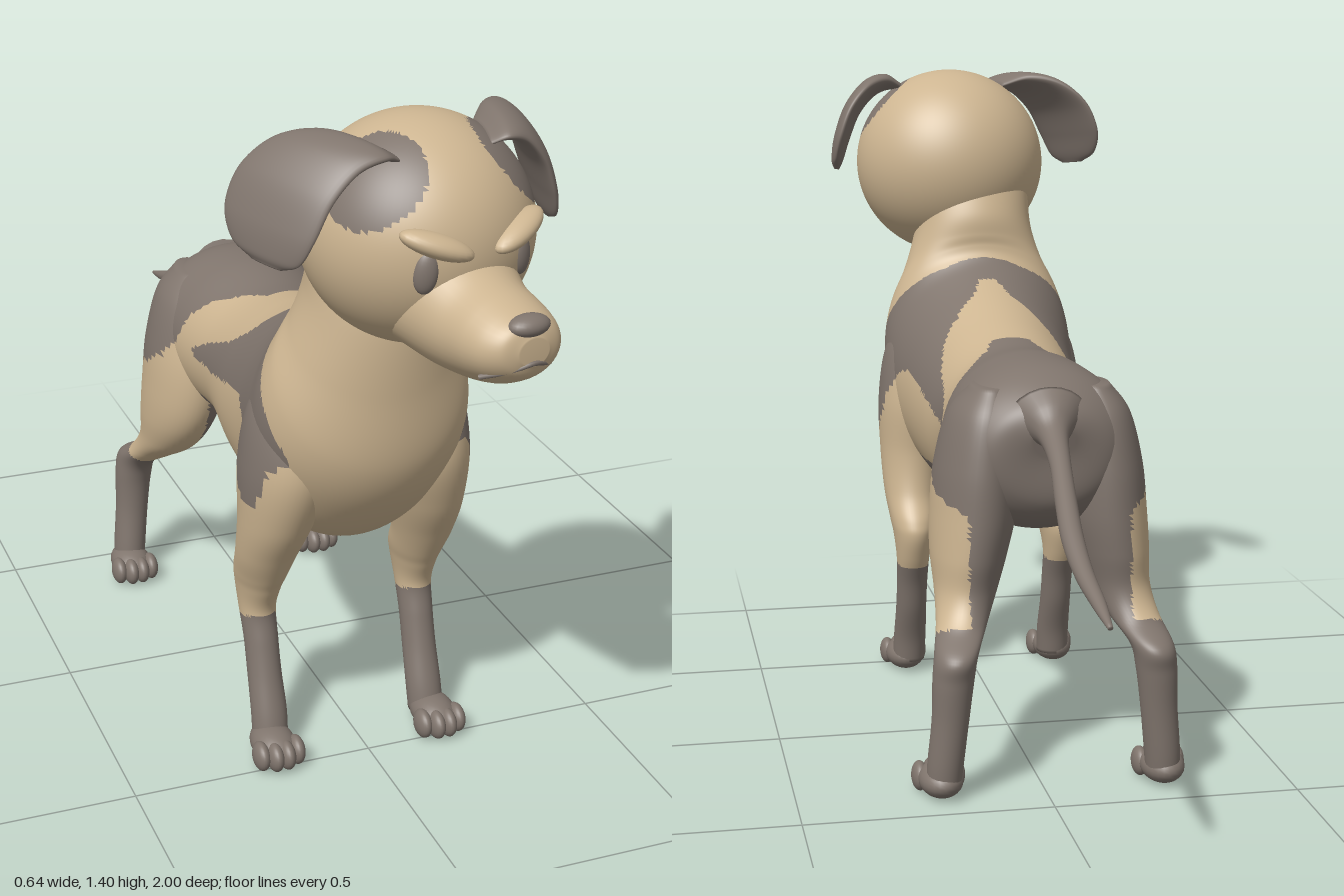
import * as THREE from 'three';

const tan = new THREE.MeshStandardMaterial({ color: 0xcdb591 });
tan.name = 'tan coat';
const grey = new THREE.MeshStandardMaterial({ color: 0x80756d });
grey.name = 'grey markings';

const V = (x, y, z) => new THREE.Vector3(x, y, z);
const MID = -0.017; // centre line of the body

// Smooth skin through elliptical rings [centre, halfAxisU, halfAxisV]
function loft(rings, around = 40, along = 60) {
  const curves = [0, 1, 2].map(k =>
    new THREE.CatmullRomCurve3(rings.map(r => r[k]), false, 'catmullrom', 0.5));
  const pos = [], index = [];
  for (let j = 0; j <= along; j++) {
    const [c, u, v] = curves.map(q => q.getPoint(j / along));
    for (let i = 0; i < around; i++) {
      const a = (i / around) * Math.PI * 2;
      const p = c.clone().addScaledVector(u, Math.cos(a)).addScaledVector(v, Math.sin(a));
      pos.push(p.x, p.y, p.z);
    }
  }
  for (let j = 0; j < along; j++) for (let i = 0; i < around; i++) {
    const a = j * around + i, b = j * around + (i + 1) % around;
    index.push(a, b, a + around, b, b + around, a + around);
  }
  // end caps
  const first = pos.length / 3, last = first + 1;
  for (const c of [rings[0][0], rings[rings.length - 1][0]]) pos.push(c.x, c.y, c.z);
  for (let i = 0; i < around; i++) {
    const k = (i + 1) % around, e = along * around;
    index.push(first, k, i, last, e + i, e + k);
  }
  // turn the faces outward
  const at = i => V(pos[3 * i], pos[3 * i + 1], pos[3 * i + 2]);
  let volume = 0;
  for (let t = 0; t < index.length; t += 3)
    volume += at(index[t]).dot(at(index[t + 1]).cross(at(index[t + 2])));
  if (volume < 0) index.reverse();
  const g = new THREE.BufferGeometry();
  g.setAttribute('position', new THREE.Float32BufferAttribute(pos, 3));
  g.setIndex(index);
  g.computeVertexNormals();
  return g;
}

// Sorts triangles into tan and grey groups by a rule on their centres
function paint(g, isGrey) {
  const p = g.attributes.position, idx = g.index.array, light = [], dark = [];
  for (let t = 0; t < idx.length; t += 3) {
    const f = [idx[t], idx[t + 1], idx[t + 2]];
    const m = get => (get(f[0]) + get(f[1]) + get(f[2])) / 3;
    const hit = isGrey(m(i => p.getX(i)), m(i => p.getY(i)), m(i => p.getZ(i)));
    (hit ? dark : light).push(...f);
  }
  g.setIndex(light.concat(dark));
  g.clearGroups();
  g.addGroup(0, light.length, 0);
  g.addGroup(light.length, dark.length, 1);
  return g;
}

function add(parent, name, geometry, material) {
  const m = new THREE.Mesh(geometry, material);
  m.name = name;
  parent.add(m);
  return m;
}

function ball(parent, name, material, [x, y, z], [sx, sy, sz]) {
  const m = add(parent, name, new THREE.SphereGeometry(1, 24, 16), material);
  m.position.set(x, y, z);
  m.scale.set(sx, sy, sz);
  return m;
}

// Point in polygon, in side profile (z, y)
const inside = (poly, z, y) => poly.reduce((hit, [z1, y1], i) => {
  const [z2, y2] = poly[(i + 1) % poly.length];
  return (y1 > y) !== (y2 > y) && z < (z2 - z1) * (y - y1) / (y2 - y1) + z1 ? !hit : hit;
}, false);

// Coat markings in side profile
const saddle = [[0.385, 1.1], [0.395, 0.96], [0.45, 0.875], [0.51, 0.79], [0.545, 0.73], [0.55, 0.7],
  [0.52, 0.68], [0.505, 0.62], [0.48, 0.59], [0.45, 0.585], [0.41, 0.62], [0.39, 0.68], [0.36, 0.725],
  [0.3, 0.745], [0.2, 0.725], [0.05, 0.69], [-0.05, 0.683], [-0.07, 0.7], [0, 0.735], [0.1, 0.775],
  [0.17, 0.82], [0.22, 0.87], [0.27, 0.91], [0.33, 0.94], [0.33, 1.1]];
const rump = [[0.05, 0.845], [0, 0.832], [-0.07, 0.8], [-0.11, 0.76], [-0.14, 0.69], [-0.18, 0.645],
  [-0.25, 0.605], [-0.37, 0.57], [-0.6, 0.55], [-0.6, 1], [0.05, 1]];
const marked = (z, y) => inside(saddle, z, y) || inside(rump, z, y);

// Torso and neck: [topZ, topY, bottomZ, bottomY, halfWidth]
const trunk = [
  [-0.405, 0.755, -0.385, 0.68, 0.04], [-0.37, 0.8, -0.37, 0.58, 0.13], [-0.28, 0.845, -0.3, 0.52, 0.19],
  [-0.15, 0.855, -0.17, 0.5, 0.185], [0, 0.845, -0.02, 0.5, 0.165], [0.15, 0.875, 0.13, 0.455, 0.178],
  [0.28, 0.92, 0.3, 0.45, 0.195], [0.36, 0.957, 0.45, 0.475, 0.212], [0.395, 0.985, 0.56, 0.57, 0.215],
  [0.405, 1.01, 0.628, 0.69, 0.198], [0.405, 1.035, 0.642, 0.85, 0.162], [0.41, 1.08, 0.642, 0.98, 0.137],
  [0.44, 1.15, 0.62, 1.08, 0.13]];

// Legs: [y, frontZ, backZ, outerX, innerX]
const foreLeg = [
  [0.86, 0.48, 0.4, 0.16, 0.1], [0.78, 0.535, 0.35, 0.215, 0.05], [0.66, 0.56, 0.32, 0.235, 0.05],
  [0.54, 0.525, 0.335, 0.234, 0.085], [0.45, 0.475, 0.325, 0.23, 0.108], [0.39, 0.44, 0.292, 0.222, 0.118],
  [0.355, 0.42, 0.285, 0.216, 0.126], [0.3, 0.398, 0.303, 0.21, 0.135], [0.235, 0.411, 0.333, 0.207, 0.137],
  [0.165, 0.43, 0.355, 0.207, 0.137], [0.09, 0.455, 0.383, 0.209, 0.135], [0.03, 0.47, 0.395, 0.21, 0.137]];
const hindLeg = [
  [0.81, -0.2, -0.32, 0.14, 0.07], [0.75, -0.13, -0.36, 0.185, 0.05], [0.65, -0.1, -0.378, 0.212, 0.045],
  [0.55, -0.1, -0.382, 0.222, 0.05], [0.47, -0.13, -0.38, 0.225, 0.07], [0.4, -0.195, -0.375, 0.222, 0.095],
  [0.345, -0.285, -0.405, 0.228, 0.125], [0.3, -0.353, -0.47, 0.242, 0.155], [0.25, -0.377, -0.468, 0.248, 0.165],
  [0.17, -0.383, -0.46, 0.25, 0.175], [0.08, -0.375, -0.455, 0.258, 0.185], [0.03, -0.37, -0.45, 0.26, 0.19]];

function addLeg(parent, name, rows, side, rule, pawZ, pawX) {
  const leg = new THREE.Group();
  leg.name = name;
  parent.add(leg);
  const rings = rows.map(([y, f, b, o, i]) =>
    [V(side * (o + i) / 2, y, (f + b) / 2), V((o - i) / 2, 0, 0), V(0, 0, (f - b) / 2)]);
  add(leg, name + 'Limb', paint(loft(rings, 48, 90), rule), [tan, grey]);
  // paw with four toes
  ball(leg, name + 'Paw', grey, [side * pawX, 0.036, pawZ], [0.045, 0.035, 0.066]);
  for (let k = 0; k < 4; k++) {
    const off = (k - 1.5) * 0.025, back = Math.abs(k - 1.5) * 0.013;
    ball(leg, name + 'Toe', grey, [side * pawX + off, 0.032, pawZ + 0.055 - back], [0.017, 0.03, 0.032]);
  }
}

function buildHead() {
  const head = new THREE.Group();
  head.name = 'head';
  head.position.set(0.02, 1.185, 0.627);
  head.rotation.y = 0.17;
  // skull with a patch around each ear
  const skull = new THREE.SphereGeometry(1, 96, 72).scale(0.218, 0.214, 0.217);
  add(head, 'skull', paint(skull, (x, y, z) =>
    Math.hypot(Math.abs(x) - 0.15, y - 0.14, z - 0.08) < 0.1), [tan, grey]);
  // muzzle: [z, top, bottom, halfWidth]
  const muzzle = [[0.06, 0.06, -0.2, 0.15], [0.16, 0.02, -0.215, 0.118], [0.23, -0.02, -0.212, 0.1],
    [0.29, -0.038, -0.2, 0.094], [0.33, -0.052, -0.185, 0.084], [0.36, -0.066, -0.165, 0.062],
    [0.373, -0.09, -0.14, 0.03]];
  add(head, 'muzzle', loft(muzzle.map(([z, t, b, w]) =>
    [V(0, (t + b) / 2, z), V(w, 0, 0), V(0, (t - b) / 2, 0)])), tan);
  ball(head, 'nose', grey, [0, -0.072, 0.353], [0.041, 0.02, 0.027]);
  const lips = new THREE.CatmullRomCurve3([V(-0.074, -0.165, 0.318), V(-0.04, -0.148, 0.357),
    V(0, -0.135, 0.373), V(0.04, -0.148, 0.357), V(0.074, -0.165, 0.318)]);
  add(head, 'mouth', new THREE.TubeGeometry(lips, 30, 0.005, 6), grey);

  for (const s of [-1, 1]) {
    const eye = ball(head, 'eye', grey, [s * 0.1, -0.014, 0.185], [0.023, 0.04, 0.015]);
    eye.rotation.set(0, s * 0.5, s * 0.1);
    const brow = ball(head, 'brow', tan, [s * 0.085, 0.036, 0.195], [0.07, 0.022, 0.032]);
    brow.rotation.set(0, s * 0.4, s * 0.33);
    // folded ear: [x, y, z, halfWidth, thickness direction x, y]
    const reach = s < 0 ? 1.17 : 1;
    const flap = [[0.1, 0.17, 0.05, 0.05, 0.004, 0.012], [0.14, 0.186, 0.04, 0.08, 0.006, 0.018],
      [0.19, 0.172, 0.02, 0.096, 0.012, 0.018], [0.235, 0.125, 0.008, 0.105, 0.017, 0.012],
      [0.262, 0.06, 0.005, 0.102, 0.018, 0.006], [0.272, 0.01, 0.01, 0.078, 0.014, 0.002],
      [0.273, -0.012, 0.015, 0.035, 0.006, 0.001]];
    add(head, s < 0 ? 'rightEar' : 'leftEar', loft(flap.map(([x, y, z, w, tx, ty]) =>
      [V(s * x * reach, y, z), V(-s * w * 0.3, -w * 0.1, w), V(s * tx, ty, 0)])), grey);
  }
  return head;
}

export function createModel() {
  const dog = new THREE.Group();
  dog.name = 'dog';
  const body = new THREE.Group();
  body.name = 'body';
  body.position.x = MID;
  dog.add(body);

  // torso and neck in one skin
  const rings = trunk.map(([tz, ty, bz, by, w]) =>
    [V(0, (ty + by) / 2, (tz + bz) / 2), V(w, 0, 0), V(0, (ty - by) / 2, (tz - bz) / 2)]);
  const belly = (z, y) => z < 0.335 && y < 0.545 + (0.335 - z) * 0.085;
  add(body, 'torso', paint(loft(rings, 120, 160), (x, y, z) => marked(z, y) || belly(z, y)), [tan, grey]);

  // legs with socks; the hind pair is grey inside
  for (const s of [-1, 1]) {
    const label = s < 0 ? 'right' : 'left';
    addLeg(body, label + 'FrontLeg', foreLeg, s,
      (x, y, z) => marked(z, y) || y < 0.285 + (z - 0.35) * 0.2, 0.46, 0.178);
    addLeg(body, label + 'HindLeg', hindLeg, s, (x, y, z) => marked(z, y) || y < 0.325 - (z + 0.35) * 0.4
      || Math.abs(x) < 0.12 || (z < -0.34 && Math.abs(x) < 0.165), -0.392, 0.228);
  }

  // tail: [x, y, z, radius]
  const tail = [[-0.015, 0.745, -0.34, 0.085], [-0.013, 0.745, -0.385, 0.055], [-0.01, 0.732, -0.43, 0.03],
    [-0.003, 0.7, -0.52, 0.021], [0.008, 0.652, -0.62, 0.021], [0.017, 0.605, -0.72, 0.021],
    [0.018, 0.565, -0.82, 0.018], [0.013, 0.535, -0.92, 0.013], [0.012, 0.516, -1, 0.005]];
  add(dog, 'tail', loft(tail.map(([x, y, z, r]) =>
    [V(x, y, z), V(r, 0, 0), V(0, r * 0.9, -r * 0.4)]), 24, 60), grey);

  dog.add(buildHead());
  return dog;
}
